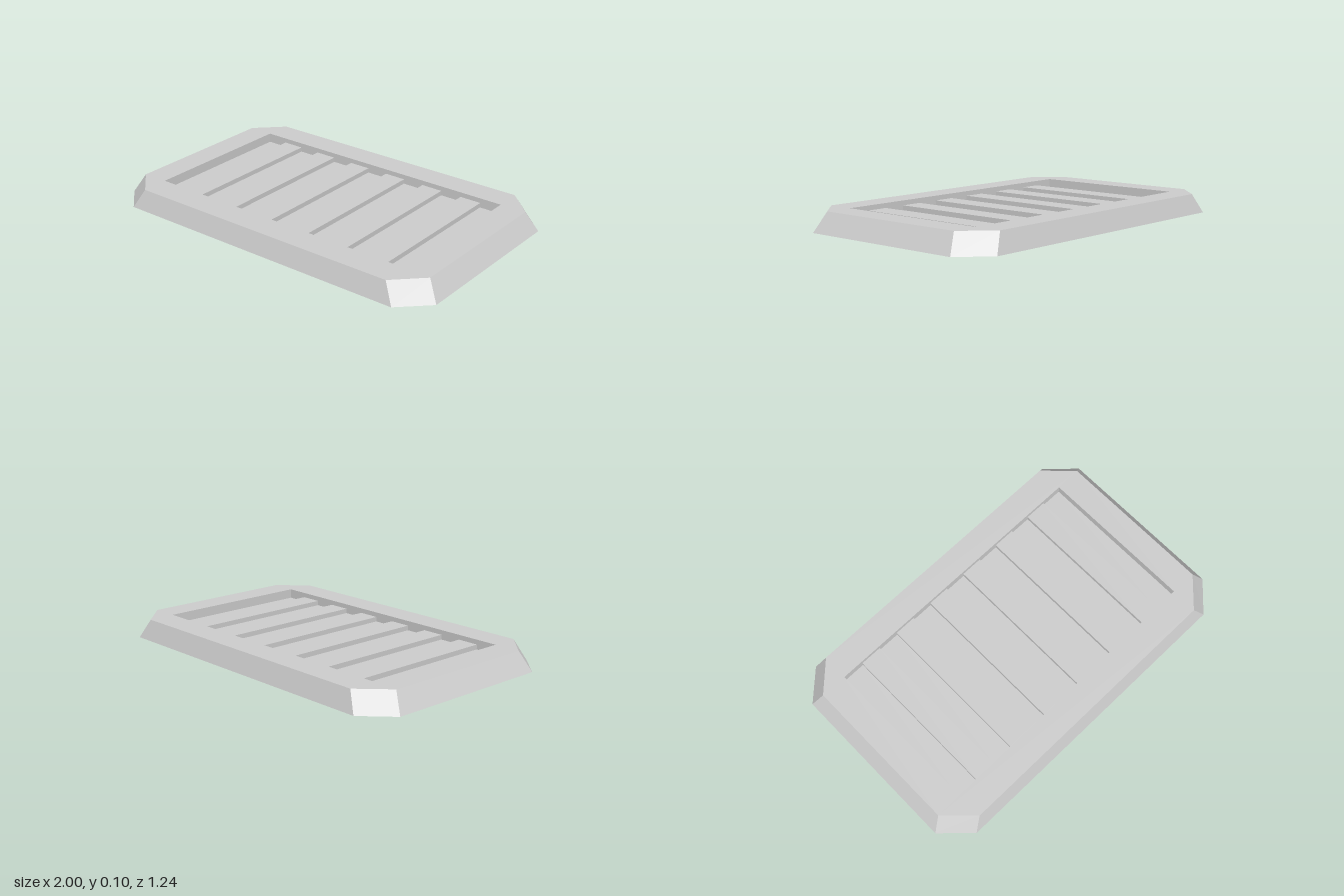
import * as THREE from 'three';

const H = 0.105;          // rim height
const RIB_Y = 0.079;      // top of raised slats
const FLOOR_Y = 0.053;    // recess floor
const RX = 0.793, RZ = 0.435; // recess half size
const SLOTS = 13;         // alternating floor and slat strips

// Rectangle with cut corners, counter-clockwise
function octagon(x, y, cx, cy) {
  return [[cx, -y], [x, -cy], [x, cy], [cx, y], [-cx, y], [-x, cy], [-x, -cy], [-cx, -y]]
    .map(([a, b]) => new THREE.Vector2(a, b));
}

// Flat-shaded surface from a list of four-cornered faces
function quadSurface(quads) {
  const pos = [];
  for (const [a, b, c, d] of quads) pos.push(...a, ...b, ...c, ...a, ...c, ...d);
  const geo = new THREE.BufferGeometry();
  geo.setAttribute('position', new THREE.Float32BufferAttribute(pos, 3));
  geo.computeVertexNormals();
  return geo;
}

export function createModel() {
  const group = new THREE.Group();
  group.name = 'ventPanel';
  const grey = new THREE.MeshStandardMaterial({ color: 0xcccccc });
  grey.name = 'lightGrey';
  const add = (name, geo) => {
    const mesh = new THREE.Mesh(geo, grey);
    mesh.name = name;
    group.add(mesh);
    return mesh;
  };

  const base = octagon(1, 0.62, 0.85, 0.475);
  const top = octagon(0.937, 0.583, 0.79, 0.438);

  // Sloping outer sides
  const at = (p, y) => [p.x, y, -p.y];
  add('outerSides', quadSurface(base.map((p, i) => {
    const j = (i + 1) % base.length;
    return [at(p, 0), at(base[j], 0), at(top[j], H), at(top[i], H)];
  })));

  // Underside
  add('underside', new THREE.ShapeGeometry(new THREE.Shape(base)).rotateX(Math.PI / 2));

  // Top rim around the recess
  const rim = new THREE.Shape(top);
  rim.holes.push(new THREE.Path([[-RX, -RZ], [-RX, RZ], [RX, RZ], [RX, -RZ]]
    .map(([x, y]) => new THREE.Vector2(x, y))));
  add('topRim', new THREE.ShapeGeometry(rim).rotateX(-Math.PI / 2).translate(0, H, 0));

  // Cross-section of the recess: down, along the slats, and up again
  const profile = [new THREE.Vector2(-RX, H)];
  const step = 2 * RX / SLOTS;
  for (let i = 0; i < SLOTS; i++) {
    const y = i % 2 ? RIB_Y : FLOOR_Y;
    profile.push(new THREE.Vector2(-RX + i * step, y), new THREE.Vector2(-RX + (i + 1) * step, y));
  }
  profile.push(new THREE.Vector2(RX, H));

  // Slatted floor with the recess side walls
  add('slattedFloor', quadSurface(profile.slice(1).map((q, i) => {
    const p = profile[i];
    return [[p.x, p.y, RZ], [q.x, q.y, RZ], [q.x, q.y, -RZ], [p.x, p.y, -RZ]];
  })));

  // Long recess walls, facing inward
  const wall = new THREE.ShapeGeometry(new THREE.Shape(profile));
  add('recessWallBack', wall).position.z = -RZ;
  const front = add('recessWallFront', wall);
  front.position.z = RZ;
  front.rotation.y = Math.PI;

  return group;
}
